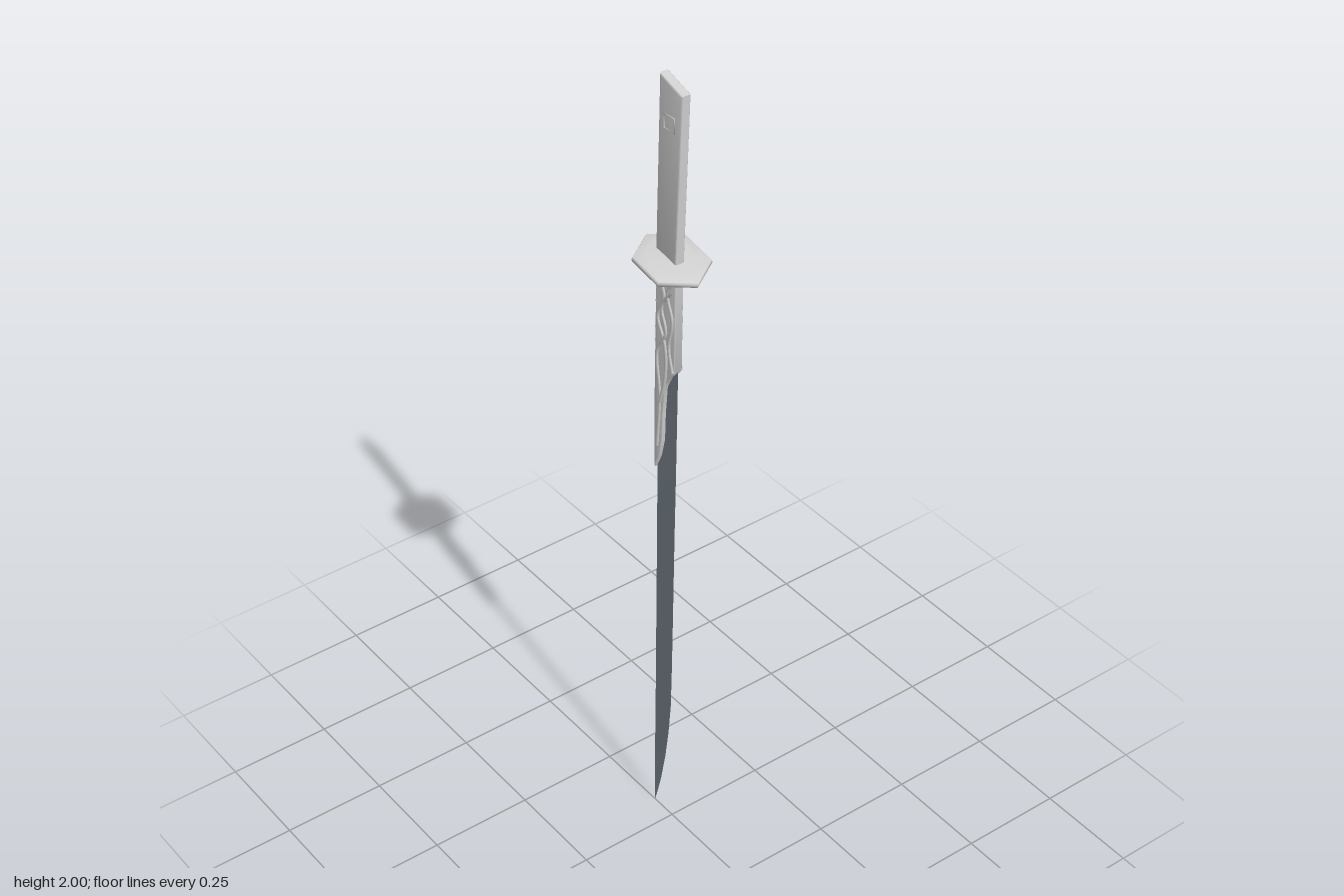
import * as THREE from 'three';
import { toCreasedNormals } from 'three/addons/utils/BufferGeometryUtils.js';

const paleMetal = new THREE.MeshStandardMaterial({ color: 0xcfcfcf });
paleMetal.name = 'pale metal';
const steelBlue = new THREE.MeshStandardMaterial({ color: 0x77818a, side: THREE.DoubleSide });
steelBlue.name = 'blue grey steel';

// Side outline of [z, y] points, extruded across x with rounded edges
function slab(points, halfWidth, bevel) {
  const shape = new THREE.Shape(points.map(([z, y]) => new THREE.Vector2(z, y)));
  const depth = 2 * (halfWidth - bevel);
  const geo = new THREE.ExtrudeGeometry(shape, {
    depth, bevelEnabled: true, bevelSize: bevel, bevelThickness: bevel,
    bevelOffset: -bevel, bevelSegments: 3,
  });
  geo.translate(0, 0, -depth / 2);
  geo.rotateY(-Math.PI / 2);
  return toCreasedNormals(geo, 0.7);
}

// Wedge blade from [y, front z, back z, half spine thickness] sections
function wedgeBlade(sections) {
  const pos = [];
  const ring = ([y, f, b, t]) => [[0, y, f], [t, y, b], [-t, y, b]];
  for (let i = 0; i < sections.length - 1; i++) {
    const a = ring(sections[i]), c = ring(sections[i + 1]);
    for (let k = 0; k < 3; k++) {
      const n = (k + 1) % 3;
      pos.push(...a[k], ...a[n], ...c[k], ...a[n], ...c[n], ...c[k]);
    }
  }
  const geo = new THREE.BufferGeometry();
  geo.setAttribute('position', new THREE.Float32BufferAttribute(pos, 3));
  geo.computeVertexNormals();
  return toCreasedNormals(geo, 0.5);
}

export function createModel() {
  const model = new THREE.Group();
  const add = (name, geo, mat = paleMetal) => {
    const mesh = new THREE.Mesh(geo, mat);
    mesh.name = name;
    model.add(mesh);
    return mesh;
  };

  // Grip with slanted end
  add('grip', slab([[0.027, 1.56], [-0.042, 1.56], [-0.026, 2], [0.048, 1.978]], 0.0115, 0.005));

  // Hexagonal guard, gently domed and tilted
  const guardProfile = [[0, -0.011], [0.07, -0.009], [0.088, -0.007], [0.091, 0],
    [0.088, 0.006], [0.06, 0.009], [0, 0.012]].map(([r, y]) => new THREE.Vector2(r, y));
  const guard = add('guard', new THREE.LatheGeometry(guardProfile, 6));
  guard.scale.x = 0.89;
  guard.position.y = 1.569;
  guard.rotation.x = 0.165;

  // Collar that sweeps down the back of the blade
  add('collar', slab([[0.026, 1.56], [0.021, 1.3], [0.005, 1.28], [-0.012, 1.245],
    [-0.019, 1.17], [-0.022, 1.1], [-0.033, 1.05], [-0.048, 1.015], [-0.051, 1.03],
    [-0.048, 1.25], [-0.044, 1.4], [-0.041, 1.56]], 0.011, 0.003));

  // Flowing carved ridges and plain square frames on both flanks
  const ridges = [
    [[0.018, 1.53], [0, 1.49], [0.016, 1.43], [0.004, 1.36], [0.016, 1.3]],
    [[-0.03, 1.53], [-0.012, 1.48], [-0.034, 1.42], [-0.01, 1.36], [-0.008, 1.28], [-0.034, 1.18]],
    [[0.012, 1.5], [-0.02, 1.45], [-0.006, 1.39], [-0.036, 1.33], [-0.028, 1.22], [-0.038, 1.08]],
  ];
  for (const side of [-1, 1]) {
    ridges.forEach((points) => {
      const curve = new THREE.CatmullRomCurve3(
        points.map(([z, y]) => new THREE.Vector3(side * 0.0105, y, z)));
      add('carvedRidge', new THREE.TubeGeometry(curve, 40, 0.0045, 8));
    });
    const frame = new THREE.TorusGeometry(0.024, 0.002, 4, 4);
    frame.rotateZ(Math.PI / 4).rotateY(Math.PI / 2).translate(side * 0.0115, 1.9, 0.006);
    add('gripFrame', frame);
  }

  // Small knuckles along the back of the collar
  for (let i = 0; i < 6; i++) {
    const knuckle = add('backKnuckle', new THREE.SphereGeometry(0.009, 12, 8));
    knuckle.position.set(0, 1.52 - i * 0.034, -0.037 - i * 0.0012);
    knuckle.scale.set(1.35, 1, 0.8);
  }

  // Thin curved blade
  add('blade', wedgeBlade([
    [1.3, 0.021, -0.04, 0.004], [1.02, 0.014, -0.048, 0.0035], [0.85, 0.009, -0.051, 0.0025],
    [0.6, 0.003, -0.056, 0.002], [0.45, -0.001, -0.058, 0.002], [0.34, -0.005, -0.06, 0.002],
    [0.25, -0.014, -0.062, 0.002], [0.17, -0.026, -0.063, 0.002], [0.09, -0.042, -0.065, 0.002],
    [0.04, -0.055, -0.066, 0.0015], [0, -0.067, -0.067, 0],
  ]), steelBlue);

  return model;
}
